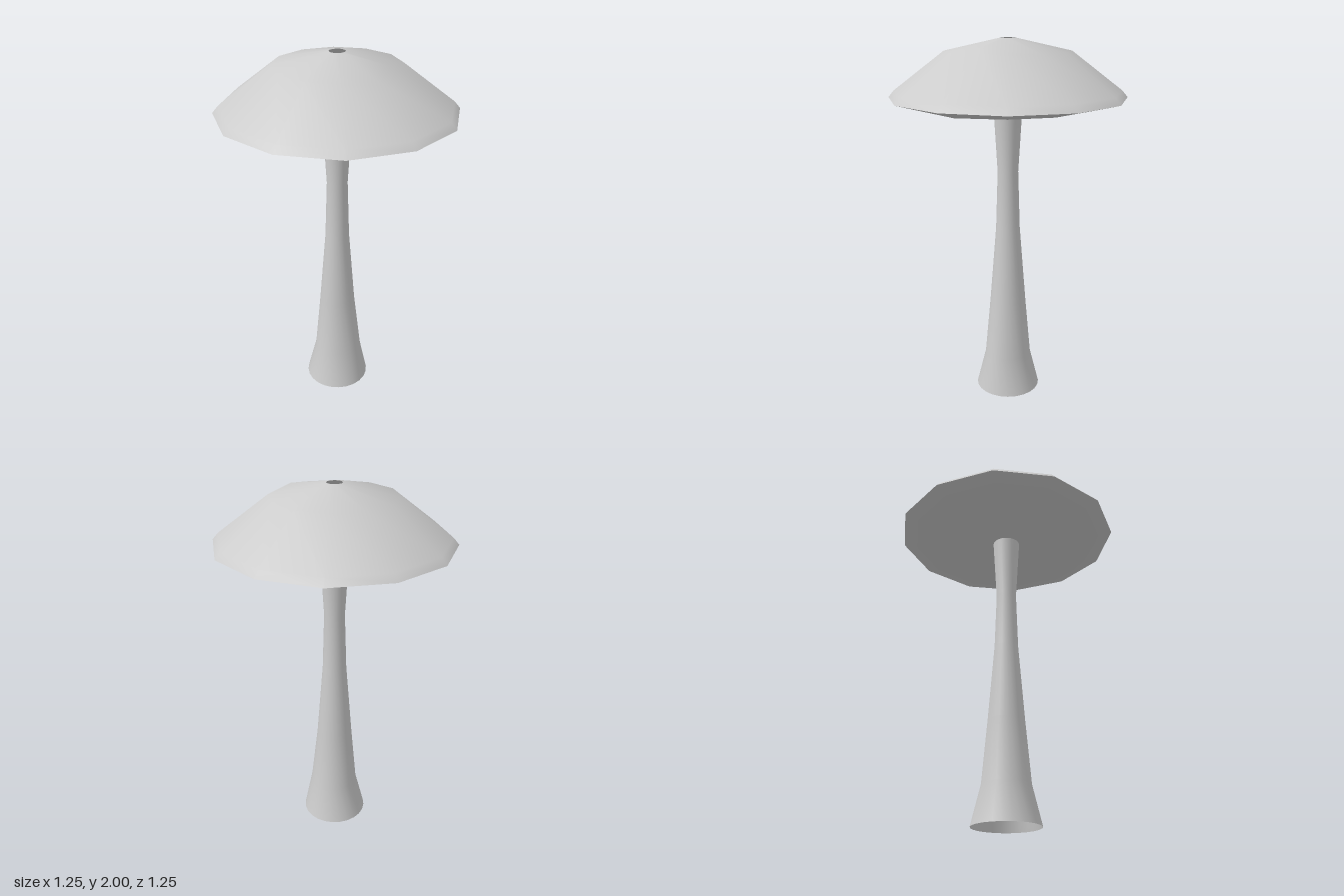
import * as THREE from 'three';
import { mergeVertices } from 'three/addons/utils/BufferGeometryUtils.js';

const material = new THREE.MeshStandardMaterial({ color: 0xcccccc, side: THREE.DoubleSide });

// Smooth turned surface; warp(v) may shift single points before normals are made.
function turned(name, profile, sides, warp) {
  const points = profile.map(([r, y]) => new THREE.Vector2(r, y));
  let geometry = new THREE.LatheGeometry(points, sides);
  geometry.deleteAttribute('uv');
  geometry.deleteAttribute('normal');
  geometry = mergeVertices(geometry, 1e-4);
  const pos = geometry.attributes.position;
  const v = new THREE.Vector3();
  for (let i = 0; i < pos.count; i++) {
    v.fromBufferAttribute(pos, i);
    warp(v);
    pos.setXYZ(i, v.x, v.y, v.z);
  }
  geometry.computeVertexNormals();
  const mesh = new THREE.Mesh(geometry, material);
  mesh.name = name;
  return mesh;
}

const onLeftAxis = (v) => v.x > 0 && Math.abs(v.z) < 1e-3;

export function createModel() {
  const group = new THREE.Group();
  group.name = 'mushroom';

  // Hollow stem, open at the foot, with a slight bulge low on its left side
  group.add(turned('stem',
    [[0.182, 0], [0.13, 0.21], [0.1, 0.55], [0.066, 0.98], [0.056, 1.3], [0.077, 1.655]], 24,
    (v) => {
      if (Math.abs(v.y - 0.21) < 0.01 && v.x > 0) v.x += 0.018 * (v.x / 0.13) ** 4;
    }));

  // Twelve-sided cap with a small round opening at the crown and one dented facet
  group.add(turned('capTop',
    [[0.627, 1.7], [0.597, 1.735], [0.33, 1.936], [0.042, 2]], 12,
    (v) => {
      if (onLeftAxis(v) && Math.abs(v.y - 1.936) < 0.01) v.set(0.27, 1.962, 0);
    }));

  // Underside from the stem out to the rim
  group.add(turned('capUnderside',
    [[0.077, 1.655], [0.45, 1.656], [0.627, 1.7]], 12,
    (v) => {
      if (onLeftAxis(v) && Math.abs(v.x - 0.45) < 0.01) v.set(0.5, 1.66, 0);
    }));

  return group;
}
